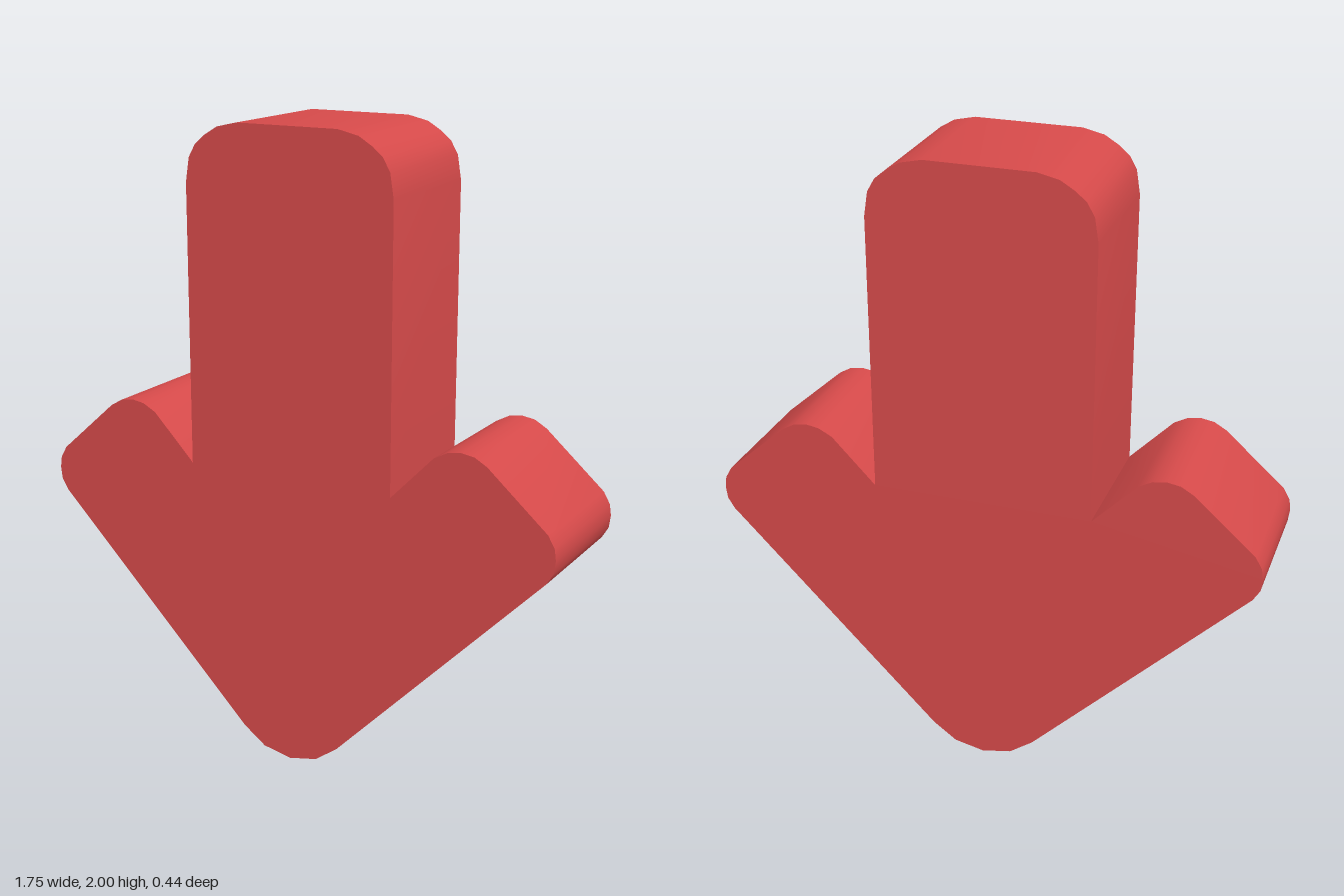
import * as THREE from 'three';
import { toCreasedNormals } from 'three/addons/utils/BufferGeometryUtils.js';

export function createModel() {
  const group = new THREE.Group();
  group.name = 'downArrow';
  const red = new THREE.MeshStandardMaterial({ color: 0xd64a4a });
  red.name = 'red';

  // Right half of the outline, from the tip up to the top of the shaft
  const half = [
    [0, 0], [0.095, 0.02], [0.17, 0.075],                             // rounded tip
    [0.847, 0.765], [0.868, 0.8], [0.873, 0.84], [0.868, 0.875], [0.847, 0.912], // outer barb corner
    [0.655, 1.082], [0.615, 1.105], [0.572, 1.112], [0.53, 1.105], [0.487, 1.082], // upper barb corner
    [0.348, 0.938],                                                   // notch beside the shaft
    [0.348, 1.815], [0.336, 1.89], [0.313, 1.93], [0.28, 1.958], [0.235, 1.985], [0.168, 2], // shaft corner
  ];
  const mirrored = half.slice(1).reverse().map(([x, y]) => [-x, y]);
  const outline = [...half, ...mirrored].map(([x, y]) => new THREE.Vector2(x, y));

  // Solid slab, smooth round the corners and sharp at the faces
  const depth = 0.44;
  const slab = new THREE.ExtrudeGeometry(new THREE.Shape(outline), { depth, bevelEnabled: false });
  slab.translate(0, 0, -depth / 2);
  const arrow = new THREE.Mesh(toCreasedNormals(slab, Math.PI / 4), red);
  arrow.name = 'arrowBody';
  group.add(arrow);
  return group;
}
